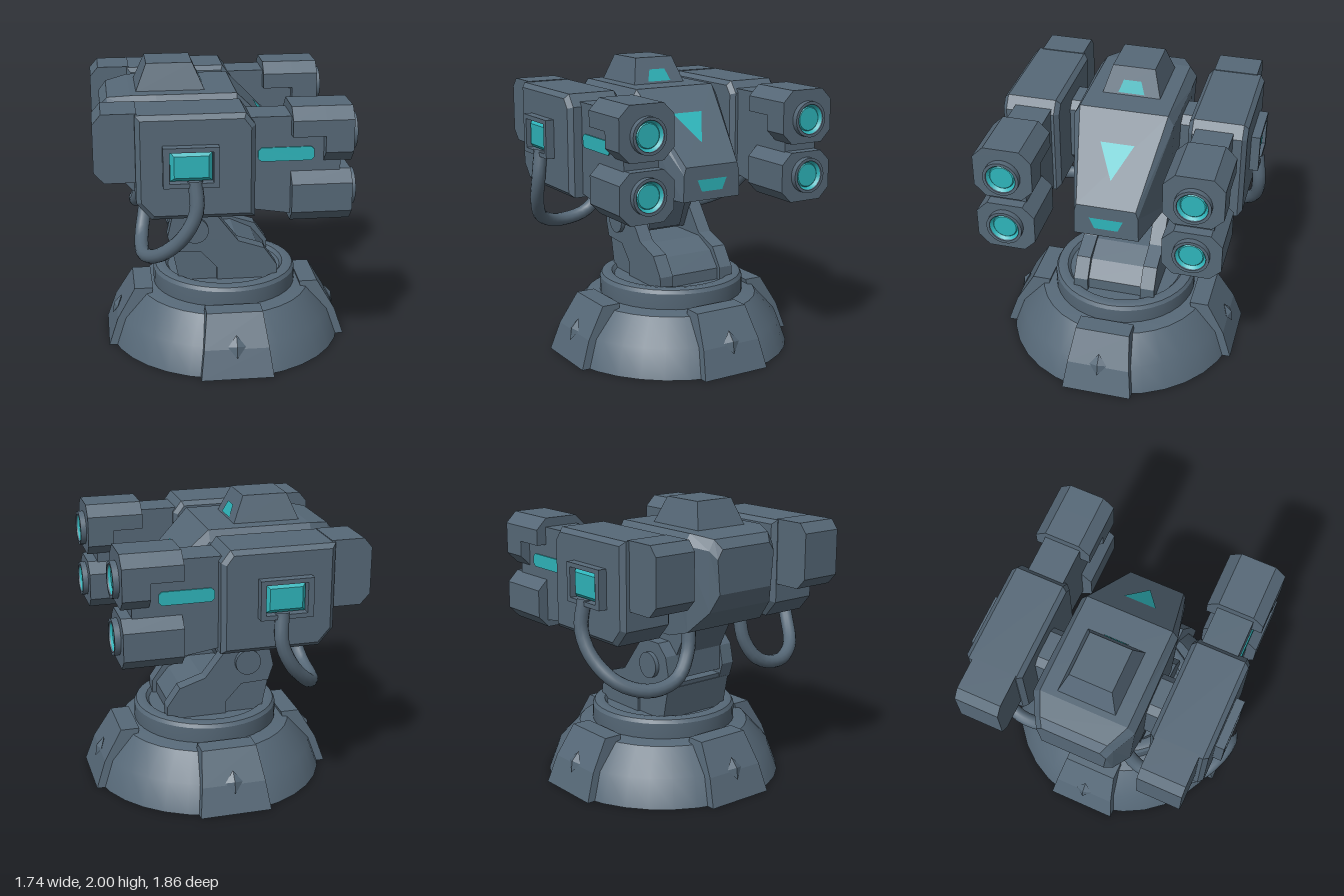
import * as THREE from 'three';
import { toCreasedNormals } from 'three/addons/utils/BufferGeometryUtils.js';

export function createModel() {
  const model = new THREE.Group();
  const armour = new THREE.MeshStandardMaterial({ color: 0x566877 });
  armour.name = 'slate armour';
  const glow = new THREE.MeshStandardMaterial({ color: 0x2eb4ba, side: THREE.DoubleSide });
  glow.name = 'teal glow';

  const add = (name, geo, mat = armour) => {
    const mesh = new THREE.Mesh(geo, mat);
    mesh.name = name;
    model.add(mesh);
    return mesh;
  };
  const outline = (pts) => new THREE.Shape(pts.map(([x, y]) => new THREE.Vector2(x, y)));

  // Profile in x/y, given thickness in z, centred on zc, with chamfered rims
  const slab = (pts, depth, zc, bevel = 0, hole = null) => {
    const shape = outline(pts);
    if (hole) shape.holes.push(outline(hole));
    const geo = new THREE.ExtrudeGeometry(shape, {
      depth: depth - 2 * bevel, bevelEnabled: bevel > 0, bevelSize: bevel,
      bevelThickness: bevel, bevelOffset: -bevel, bevelSegments: 1,
    });
    return geo.translate(0, 0, zc - depth / 2 + bevel);
  };
  // Profile in z/y (symmetric in z), running from x0 to x1
  const bar = (pts, x0, x1, zc) =>
    new THREE.ExtrudeGeometry(outline(pts), { depth: x1 - x0, bevelEnabled: false })
      .rotateY(Math.PI / 2).translate(x0, 0, zc);
  const rect = (x0, x1, y0, y1) => [[x0, y0], [x1, y0], [x1, y1], [x0, y1]];

  // Skin over matching loops of points, closed at both ends
  const loft = (loops) => {
    const v = [];
    const n = loops[0].length;
    for (let i = 0; i < loops.length - 1; i++) {
      for (let j = 0; j < n; j++) {
        const k = (j + 1) % n, a = loops[i], b = loops[i + 1];
        v.push(...a[j], ...a[k], ...b[k], ...a[j], ...b[k], ...b[j]);
      }
    }
    const first = loops[0], last = loops[loops.length - 1];
    for (let j = 1; j < n - 1; j++) {
      v.push(...last[0], ...last[j], ...last[j + 1]);
      v.push(...first[0], ...first[j + 1], ...first[j]);
    }
    return polygonSoup(v);
  };
  const polygonSoup = (v) => {
    const geo = new THREE.BufferGeometry();
    geo.setAttribute('position', new THREE.Float32BufferAttribute(v, 3));
    geo.computeVertexNormals();
    return geo;
  };
  // Single flat painted face
  const patch = (pts) => {
    const v = [];
    for (let j = 1; j < pts.length - 1; j++) v.push(...pts[0], ...pts[j], ...pts[j + 1]);
    return polygonSoup(v);
  };
  const lathe = (pts, segments) =>
    toCreasedNormals(new THREE.LatheGeometry(pts.map(([r, y]) => new THREE.Vector2(r, y)), segments), 0.5);

  // ---- Base: round skirt, four armour panels, collar ----
  const baseX = 0.03;
  add('baseSkirt', lathe([[0, 0], [0.825, 0], [0.755, 0.19], [0.6, 0.36], [0.45, 0.39], [0, 0.39]], 32))
    .position.x = baseX;
  add('collar', lathe([[0.5, 0.34], [0.505, 0.37], [0.505, 0.485], [0.49, 0.51], [0.46, 0.52],
    [0.42, 0.515], [0.4, 0.49], [0, 0.49]], 40)).position.x = baseX;
  const panelLoop = (y, out, h, inner) => [[inner, y, h], [out, y, h], [out, y, -h], [inner, y, -h]];
  for (let i = 0; i < 4; i++) {
    const panel = add('basePanel', loft([
      panelLoop(0, 0.84, 0.245, 0.6), panelLoop(0.19, 0.775, 0.22, 0.57), panelLoop(0.4, 0.65, 0.19, 0.52),
    ]));
    const stud = new THREE.Mesh(
      new THREE.OctahedronGeometry(1).scale(0.025, 0.08, 0.06).rotateZ(0.44), armour);
    stud.name = 'panelStud';
    stud.position.set(0.772, 0.205, 0);
    panel.add(stud);
    panel.position.x = baseX;
    panel.rotation.y = i * Math.PI / 2;
  }

  // ---- Pedestal and tilting neck ----
  add('pedestalCore', slab([[-0.31, 0.48], [0.34, 0.48], [0.34, 0.57], [0.25, 0.68], [0.1, 0.75],
    [-0.36, 0.75]], 0.4, 0));
  add('pedestalFoot', slab([[-0.31, 0.48], [0.0, 0.48], [0.0, 0.72], [-0.36, 0.72]], 0.54, 0));
  add('neck', slab([[-0.36, 0.78], [-0.1, 0.78], [0.0, 1.0], [-0.05, 1.18], [-0.48, 1.18],
    [-0.36, 0.95]], 0.39, 0));
  add('neckSpine', slab([[-0.2, 0.8], [-0.06, 0.8], [0.02, 1.0], [-0.02, 1.16], [-0.2, 1.16]], 0.26, 0));
  const cheek = [[-0.05, 0.48], [0.37, 0.48], [0.37, 0.58], [0.28, 0.71], [0.1, 0.77], [-0.1, 1.03],
    [-0.28, 1.03], [-0.36, 0.95], [-0.39, 0.82], [-0.355, 0.71], [-0.16, 0.7], [-0.05, 0.58]];

  // ---- Head ----
  const headLoop = (x, top, bottom, wTop, w, wBottom, drop) => [
    [x, top, wTop], [x, top - drop, w], [x, bottom, wBottom],
    [x, bottom, -wBottom], [x, top - drop, -w], [x, top, -wTop]];
  add('head', loft([
    headLoop(-0.82, 1.74, 1.45, 0.2, 0.24, 0.22, 0.06),
    headLoop(-0.77, 1.8, 1.33, 0.23, 0.27, 0.26, 0.07),
    headLoop(-0.62, 1.825, 1.18, 0.3, 0.35, 0.32, 0.07),
    headLoop(-0.45, 1.825, 1.13, 0.3, 0.35, 0.33, 0.07),
    headLoop(0.08, 1.825, 1.13, 0.3, 0.34, 0.32, 0.07),
    headLoop(0.55, 1.36, 1.13, 0.2, 0.215, 0.22, 0.05),
  ]));
  add('noseTriangle', patch([[0.245, 1.668, 0.115], [0.425, 1.492, 0], [0.245, 1.668, -0.115]]), glow);
  add('chinWindow', patch([[0.555, 1.27, 0.115], [0.555, 1.19, 0.08], [0.555, 1.19, -0.08],
    [0.555, 1.27, -0.115]]), glow);

  // Roof sensor
  const roofLoop = (x0, x1, y, h) => [[x0, y, h], [x1, y, h], [x1, y, -h], [x0, y, -h]];
  add('roofSensor', loft([roofLoop(-0.58, -0.12, 1.82, 0.2), roofLoop(-0.505, -0.2, 2, 0.145)]));
  add('roofWindow', patch([[-0.122, 1.84, 0.09], [-0.122, 1.84, -0.09],
    [-0.157, 1.92, -0.06], [-0.157, 1.92, 0.06]]), glow);

  // ---- Parts on both sides ----
  const octagon = (cy, hz, hy, c) => [[hz, cy - hy + c], [hz, cy + hy - c], [hz - c, cy + hy], [c - hz, cy + hy],
    [-hz, cy + hy - c], [-hz, cy - hy + c], [c - hz, cy - hy], [hz - c, cy - hy]];
  for (const s of [1, -1]) {
    add('pedestalCheek', slab(cheek, 0.1, s * 0.24));
    add('pivotBoss', new THREE.CylinderGeometry(0.09, 0.09, 0.06, 24).rotateX(Math.PI / 2))
      .position.set(-0.2, 0.865, s * 0.29);

    // Weapon pod
    add('podLink', slab([[-0.43, 1.27], [-0.38, 1.22], [-0.19, 1.22], [-0.14, 1.27], [-0.14, 1.64],
      [-0.19, 1.69], [-0.38, 1.69], [-0.43, 1.64]], 0.2, s * 0.38));
    add('pod', slab([[-0.615, 1.26], [-0.52, 1.15], [0.135, 1.15], [0.135, 1.75], [0.075, 1.83],
      [-0.615, 1.83]], 0.39, s * 0.635, 0.03));
    add('podRearBlock', slab([[-0.875, 1.46], [-0.81, 1.39], [-0.6, 1.39], [-0.6, 1.835], [-0.82, 1.835],
      [-0.875, 1.77]], 0.3, s * 0.625));

    // Side screen in a raised frame
    add('screenFrame', slab(rect(-0.45, -0.1, 1.38, 1.64), 0.07, s * 0.855, 0,
      rect(-0.41, -0.135, 1.41, 1.61).reverse()));
    add('screen', slab(rect(-0.405, -0.14, 1.415, 1.605), 0.05, s * 0.845, 0.025), glow);

    // Gun mount with glowing slot
    add('gunMount', slab([[0.1, 1.17], [0.14, 1.17], [0.4, 1.13], [0.4, 1.3], [0.69, 1.3], [0.69, 1.62],
      [0.4, 1.67], [0.4, 1.78], [0.1, 1.78]], 0.25, s * 0.615));
    add('mountSlot', slab([[0.16, 1.51], [0.18, 1.49], [0.5, 1.49], [0.52, 1.51], [0.52, 1.56],
      [0.5, 1.58], [0.18, 1.58], [0.16, 1.56]], 0.009, s * 0.744), glow);

    // Upper barrel, notched at the rear, and lower barrel
    add('upperBarrelFront', bar(octagon(1.66, 0.195, 0.18, 0.075), 0.58, 0.76, s * 0.615));
    add('upperBarrelRear', bar([[0.195, 1.66], [0.195, 1.765], [0.12, 1.84], [-0.12, 1.84],
      [-0.195, 1.765], [-0.195, 1.66]], 0.37, 0.58, s * 0.615));
    add('lowerBarrel', bar(octagon(1.255, 0.195, 0.168, 0.075), 0.37, 0.76, s * 0.615));
    for (const y of [1.645, 1.265]) {
      add('muzzleRing', lathe([[0.12, -0.02], [0.12, 0.04], [0.1, 0.04], [0.095, 0.005]], 24)
        .rotateZ(-Math.PI / 2)).position.set(0.76, y, s * 0.615);
      add('muzzleLens', lathe([[0.098, 0.03], [0.082, 0.012], [0.076, 0.018], [0, 0.018]], 24)
        .rotateZ(-Math.PI / 2), glow).position.set(0.76, y, s * 0.615);
    }

    // Hose from the screen frame round to the back of the head
    const path = new THREE.CatmullRomCurve3([
      [-0.25, 1.42, 0.86], [-0.245, 1.22, 0.885], [-0.33, 1.04, 0.86], [-0.47, 0.89, 0.76],
      [-0.565, 0.825, 0.57], [-0.57, 0.87, 0.36], [-0.54, 1.02, 0.25], [-0.52, 1.2, 0.22],
    ].map(([x, y, z]) => new THREE.Vector3(x, y, s * z)));
    add('hose', new THREE.TubeGeometry(path, 28, 0.047, 12));
  }
  return model;
}
